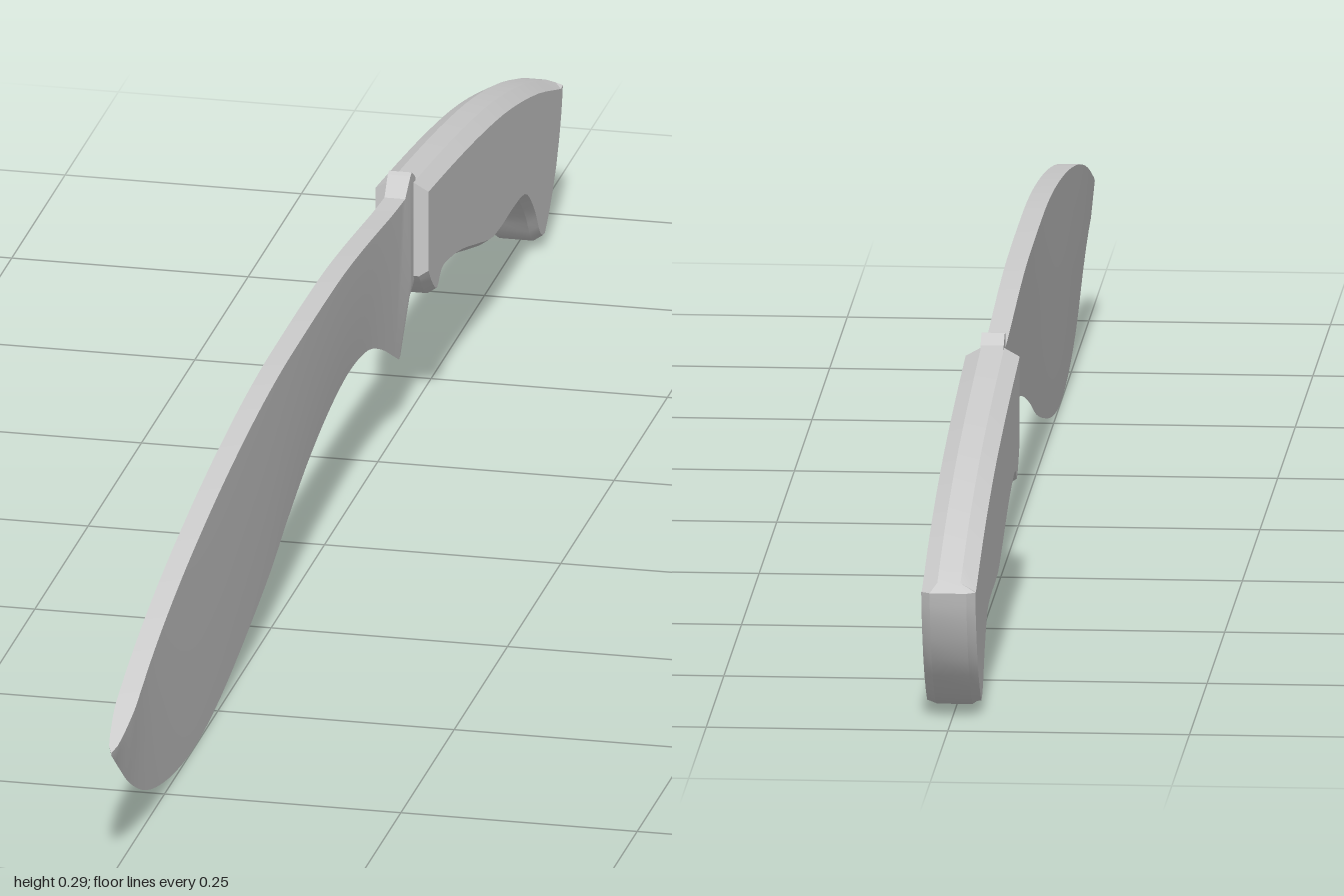
import * as THREE from 'three';
import { toCreasedNormals } from 'three/addons/utils/BufferGeometryUtils.js';

const material = new THREE.MeshStandardMaterial({ color: 0xcccccc });

// Skin a list of rings (arrays of [x, y, z]) and cap both ends.
// flatAxis is the axis that is dropped to triangulate the caps.
function loft(name, rings, flatAxis, crease) {
  const n = rings[0].length;
  const last = rings.length - 1;
  const index = [];
  for (let k = 0; k < last; k++) {
    for (let i = 0; i < n; i++) {
      const a = k * n + i, b = k * n + (i + 1) % n;
      index.push(a, a + n, b, b, a + n, b + n);
    }
  }
  const flat = (ring) => ring.map(([x, y, z]) => new THREE.Vector2(flatAxis === 'x' ? z : x, y));
  for (const [a, b, c] of THREE.ShapeUtils.triangulateShape(flat(rings[0]), [])) index.push(a, b, c);
  for (const [a, b, c] of THREE.ShapeUtils.triangulateShape(flat(rings[last]), [])) {
    index.push(last * n + a, last * n + c, last * n + b);
  }
  const geometry = new THREE.BufferGeometry();
  geometry.setAttribute('position', new THREE.Float32BufferAttribute(rings.flat(2), 3));
  geometry.setIndex(index);
  const mesh = new THREE.Mesh(toCreasedNormals(geometry, crease), material);
  mesh.name = name;
  return mesh;
}

const smooth = (points, count) => new THREE.CatmullRomCurve3(
  points.map(([a, b, c = 0]) => new THREE.Vector3(a, b, c))).getPoints(count);

function createBlade() {
  // Stations from tip to heel: z, spine height, edge height
  const stations = smooth([
    [1, 0.138, 0.135], [0.96, 0.154, 0.105], [0.917, 0.171, 0.075], [0.837, 0.198, 0.037],
    [0.73, 0.225, 0.011], [0.607, 0.248, 0.001], [0.49, 0.265, 0.011], [0.355, 0.279, 0.038],
    [0.25, 0.285, 0.065], [0.17, 0.286, 0.093], [0.06, 0.286, 0.125], [-0.045, 0.284, 0.144],
    [-0.125, 0.279, 0.149], [-0.206, 0.272, 0.14], [-0.27, 0.266, 0.117], [-0.33, 0.262, 0.087],
  ], 60).map((p) => [p.x, p.y, p.z]);
  const rings = stations.map(([z, top, bottom]) => {
    const w = 0.011 * Math.min(1, Math.sqrt((1 - z) / 0.07) + 0.03);
    const mid = (top + bottom) / 2;
    return [[w, top, z], [-w, top, z], [-0.65 * w, mid, z], [0, bottom, z], [0.65 * w, mid, z]];
  });
  // Thicker heel with a raised spine notch and a spur below
  for (const [z, top, mid, bottom] of [
    [-0.35, 0.28, 0.17, 0.077], [-0.356, 0.282, 0.16, 0.08], [-0.372, 0.272, 0.16, 0.117], [-0.382, 0.25, 0.17, 0.139],
  ]) {
    const w = 0.012;
    rings.push([[w, top, z], [-w, top, z], [-w, mid, z], [0, bottom, z], [w, mid, z]]);
  }
  return loft('blade', rings, 'z', 0.4);
}

function createHandle() {
  // Outline pieces as [z, y], each with its own bevel: flat half-width, inset in z and y
  const pieces = [
    { points: smooth([[-0.364, 0.268], [-0.473, 0.257], [-0.607, 0.241], [-0.74, 0.22],
      [-0.874, 0.189], [-0.985, 0.154]], 16), flat: 0.012, dz: 0, dy: -0.009 },
    { points: smooth([[-1, 0.146], [-0.993, 0.118], [-0.97, 0.07], [-0.938, 0.032],
      [-0.915, 0.014]], 8), flat: 0.019, dz: 0.006, dy: 0 },
    { points: smooth([[-0.9, 0.008], [-0.887, 0.016], [-0.863, 0.048], [-0.826, 0.08],
      [-0.79, 0.088], [-0.67, 0.091], [-0.607, 0.107], [-0.527, 0.13], [-0.473, 0.141],
      [-0.425, 0.145], [-0.404, 0.132], [-0.377, 0.15], [-0.364, 0.165]], 36),
      flat: 0.018, dz: 0, dy: 0.007 },
  ];
  const half = 0.028;
  const inner = (side) => pieces.flatMap(({ points, flat }) =>
    points.map((p) => [side * flat, p.y, p.x]));
  const outer = (side) => pieces.flatMap(({ points, dz, dy }) =>
    points.map((p) => [side * half, p.y + dy, p.x + dz]));
  return loft('handle', [outer(-1), inner(-1), inner(1), outer(1)], 'x', 0.35);
}

export function createModel() {
  const model = new THREE.Group();
  model.name = 'curvedKnife';
  model.add(createBlade(), createHandle());
  return model;
}
